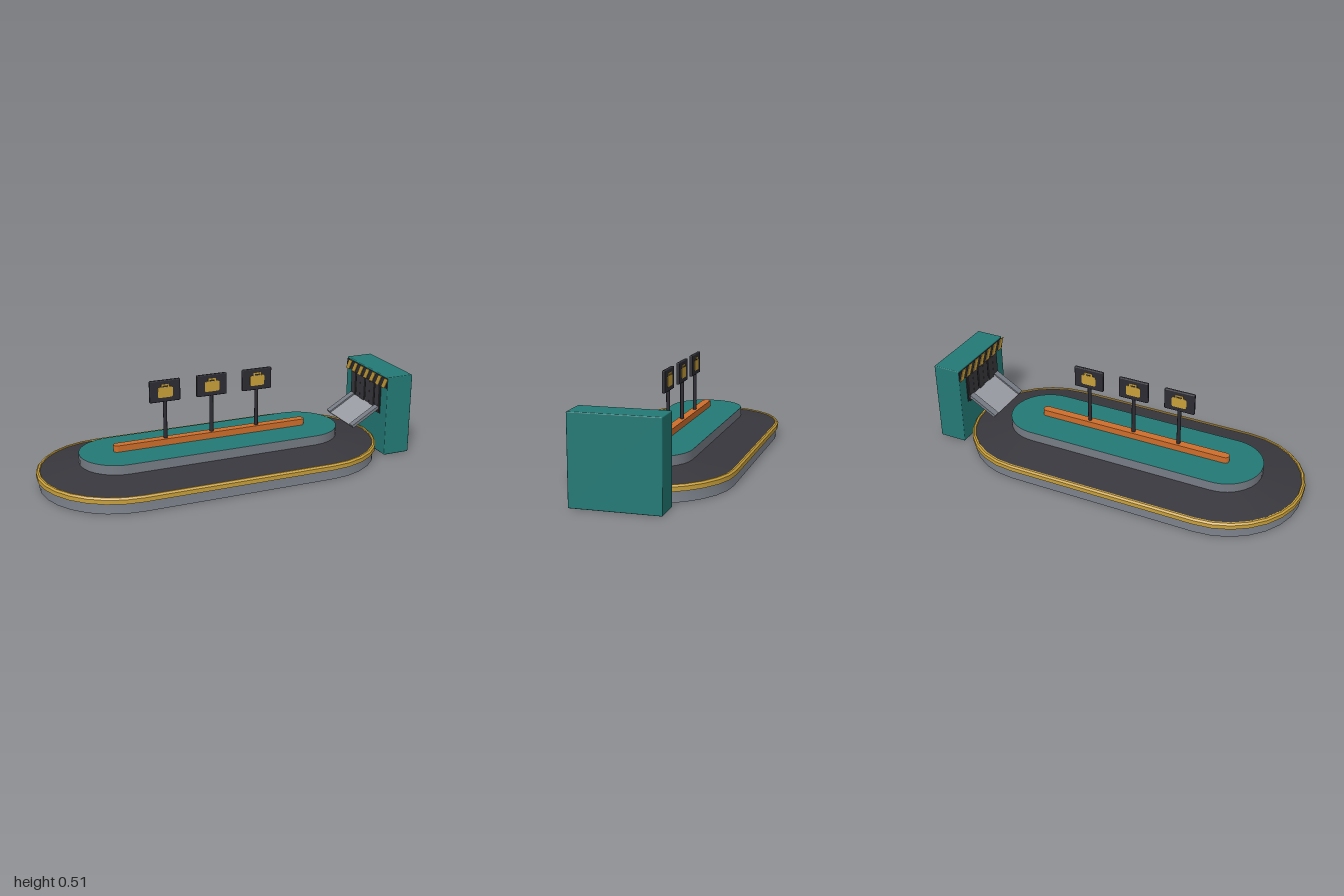
import * as THREE from 'three';
import { toCreasedNormals } from 'three/addons/utils/BufferGeometryUtils.js';
import { RoundedBoxGeometry } from 'three/addons/geometries/RoundedBoxGeometry.js';

const CX = -0.075;   // centre of the oval
const HALF = 0.51;   // half length of its straight sides
const ARC = 14;      // segments per rounded end

function paint(name, color, side = THREE.FrontSide) {
  const m = new THREE.MeshStandardMaterial({ color, side });
  m.name = name;
  return m;
}

// Sweep a [radius, height] profile around the oval
function ovalSweep(profile) {
  const path = [];
  for (const [cx, start] of [[HALF, -Math.PI / 2], [-HALF, Math.PI / 2]])
    for (let i = 0; i <= ARC; i++) path.push([cx, start + Math.PI * i / ARC]);
  const pos = [], idx = [], n = path.length;
  for (const [r, y] of profile)
    for (const [cx, t] of path) pos.push(CX + cx + r * Math.cos(t), y, r * Math.sin(t));
  for (let i = 0; i < profile.length - 1; i++)
    for (let j = 0; j < n; j++) {
      const k = (j + 1) % n, a = i * n + j, b = i * n + k, c = b + n, d = a + n;
      idx.push(a, d, c, a, c, b);
    }
  const g = new THREE.BufferGeometry();
  g.setAttribute('position', new THREE.Float32BufferAttribute(pos, 3));
  g.setIndex(idx);
  return toCreasedNormals(g, 0.5);
}

function ovalShape(half, r) {
  const s = new THREE.Shape();
  s.absarc(half, 0, r, -Math.PI / 2, Math.PI / 2);
  s.absarc(-half, 0, r, Math.PI / 2, Math.PI * 1.5);
  return s;
}

function polygon(points) {
  return new THREE.Shape(points.map(([x, y]) => new THREE.Vector2(x, y)));
}

export function createModel() {
  const model = new THREE.Group();
  model.name = 'baggageCarousel';
  const teal = paint('teal', 0x237a76, THREE.DoubleSide);
  const grey = paint('steel grey', 0x777c85, THREE.DoubleSide);
  const pale = paint('pale steel', 0x9b9da4, THREE.DoubleSide);
  const gold = paint('gold', 0xc9a03a, THREE.DoubleSide);
  const rubber = paint('belt rubber', 0x38373d, THREE.DoubleSide);
  const dark = paint('dark', 0x2c2c33, THREE.DoubleSide);
  const orange = paint('orange', 0xcf6e2c);

  function add(name, geometry, material, x = 0, y = 0, z = 0, parent = model) {
    const mesh = new THREE.Mesh(geometry, material);
    mesh.name = name;
    mesh.position.set(x, y, z);
    parent.add(mesh);
    return mesh;
  }

  // Oval base, bumper rail, sloping belt and raised island
  add('skirt', ovalSweep([[0.405, 0], [0.395, 0.06], [0.395, 0.08]]), grey);
  add('bumperRail', ovalSweep([[0.397, 0.055], [0.417, 0.055], [0.417, 0.077], [0.409, 0.086],
    [0.4, 0.086], [0.397, 0.08]]), gold);
  add('belt', ovalSweep([[0.4, 0.081], [0.2, 0.115]]), rubber);
  add('islandWall', ovalSweep([[0.2, 0], [0.2, 0.165]]), grey);
  const cap = add('islandTop', new THREE.ShapeGeometry(ovalShape(HALF, 0.2), ARC), teal, CX, 0.165, 0);
  cap.rotation.x = -Math.PI / 2;

  // Orange spine along the island
  const spine = add('spine', new THREE.ExtrudeGeometry(ovalShape(0.513, 0.022),
    { depth: 0.035, bevelEnabled: false, curveSegments: 8 }), orange, CX, 0.164, 0);
  spine.rotation.x = -Math.PI / 2;

  // Luggage signs on posts
  const caseShape = polygon([[-0.04, -0.024], [-0.034, -0.03], [0.034, -0.03], [0.04, -0.024],
    [0.04, 0.019], [0.034, 0.025], [0.021, 0.025], [0.021, 0.04], [-0.021, 0.04],
    [-0.021, 0.025], [-0.034, 0.025], [-0.04, 0.019]]);
  caseShape.holes.push(polygon([[-0.014, 0.025], [-0.014, 0.033], [0.014, 0.033], [0.014, 0.025]]));
  const caseGeo = new THREE.ExtrudeGeometry(caseShape, { depth: 0.002, bevelEnabled: false });
  for (let i = -1; i <= 1; i++) {
    const sign = new THREE.Group();
    sign.name = 'sign';
    sign.position.set(CX + i * 0.255, 0, 0);
    model.add(sign);
    add('post', new THREE.CylinderGeometry(0.01, 0.01, 0.22, 10), dark, 0, 0.3, 0, sign);
    add('signPanel', new RoundedBoxGeometry(0.165, 0.115, 0.018, 2, 0.005), dark, 0, 0.453, 0, sign);
    add('luggageIconFront', caseGeo, gold, 0, 0.45, 0.009, sign);
    add('luggageIconBack', caseGeo, gold, 0, 0.45, -0.011, sign);
  }

  // Feed housing with curtain opening facing the belt
  add('housing', new RoundedBoxGeometry(0.15, 0.44, 0.44, 2, 0.005), teal, 0.922, 0.221, 0);
  add('opening', new THREE.BoxGeometry(0.004, 0.16, 0.31), dark, 0.846, 0.3, 0);
  for (let i = 0; i < 6; i++)
    add('curtainStrip', new THREE.BoxGeometry(0.005, 0.155, 0.044), rubber,
      i % 2 ? 0.841 : 0.838, 0.3, (i - 2.5) * 0.05);

  // Hazard band above the opening
  add('hazardBand', new THREE.BoxGeometry(0.004, 0.056, 0.43), dark, 0.845, 0.405, 0);
  const stripe = new THREE.ExtrudeGeometry(
    polygon([[-0.033, -0.028], [0.001, -0.028], [0.033, 0.028], [-0.001, 0.028]]),
    { depth: 0.003, bevelEnabled: false });
  for (let i = 0; i < 7; i++) {
    const s = add('hazardStripe', stripe, gold, 0.841, 0.405, -0.185 + i * 0.0635);
    s.rotation.y = -Math.PI / 2;
  }

  // Sloping chute with side rails
  const chute = new THREE.Group();
  chute.name = 'chute';
  chute.position.set(0.768, 0.203, 0);
  chute.rotation.z = 0.535;
  model.add(chute);
  add('chutePlate', new THREE.BoxGeometry(0.18, 0.008, 0.22), pale, 0, 0, 0, chute);
  for (const side of [-1, 1])
    add('chuteRail', new THREE.BoxGeometry(0.18, 0.016, 0.036), grey, 0, 0.004, side * 0.127, chute);

  return model;
}
